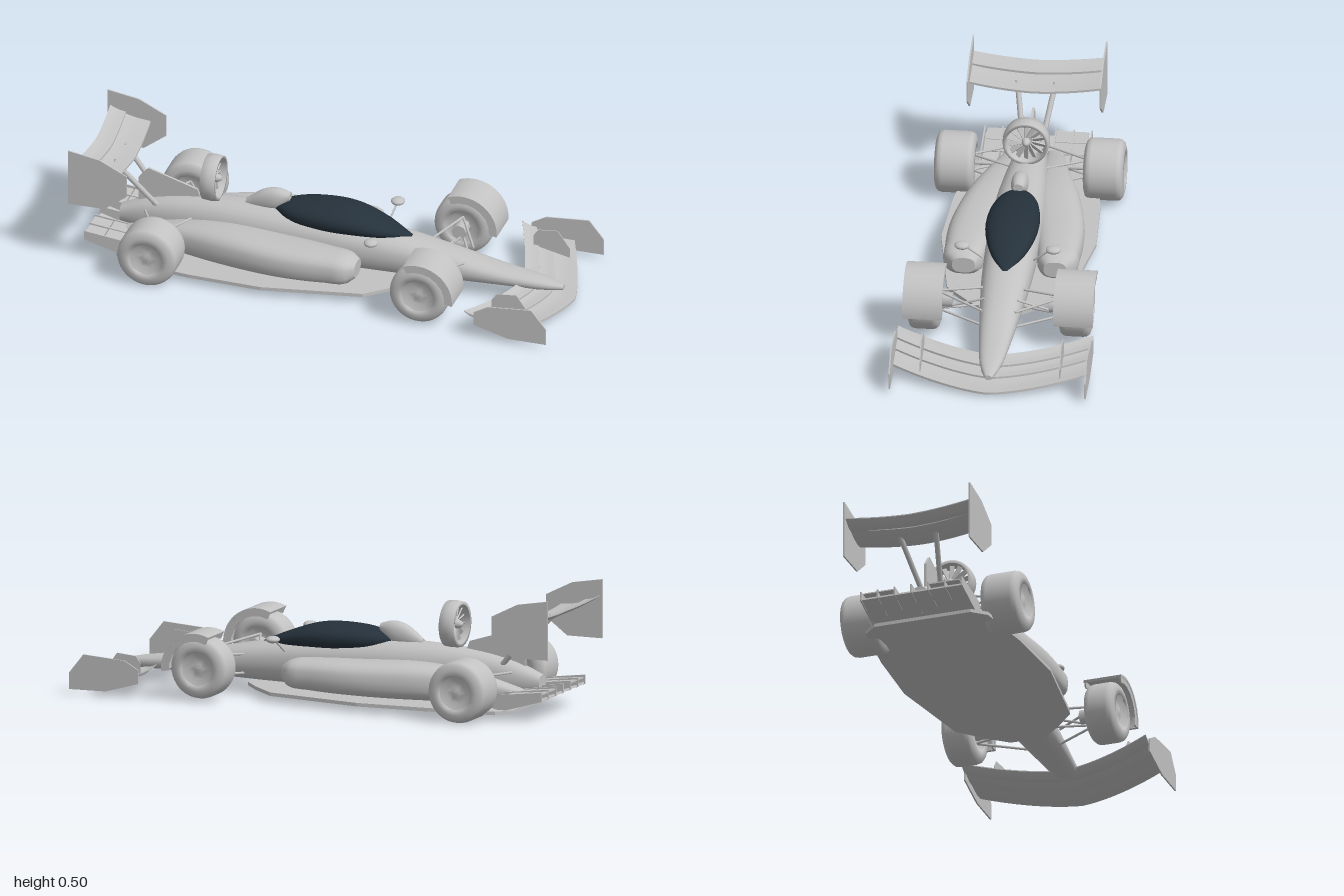
import * as THREE from 'three';

const V = (x, y, z) => new THREE.Vector3(x, y, z);

export function createModel() {
  const car = new THREE.Group();
  car.name = 'racingCar';
  const paint = new THREE.MeshStandardMaterial({ color: 0xc2c2c2 });
  paint.name = 'silver paint';
  const glass = new THREE.MeshStandardMaterial({ color: 0x25313b });
  glass.name = 'dark glass';

  function add(name, geometry, material = paint, parent = car) {
    const mesh = new THREE.Mesh(geometry, material);
    mesh.name = name;
    parent.add(mesh);
    return mesh;
  }

  // Skin over rounded sections along x: [x, bottom, top, half width, centre z]
  function loft(sections, power = 0.85, steps = 36, sides = 24) {
    const spline = new THREE.CubicInterpolant(
      sections.map(s => s[0]), sections.flatMap(s => s.slice(1)), 4, new Float32Array(4));
    const pos = [], index = [];
    const bend = v => Math.sign(v) * Math.abs(v) ** power;
    const ring = x => {
      const [lo, hi, w, zc] = spline.evaluate(x);
      for (let j = 0; j < sides; j++) {
        const a = j / sides * Math.PI * 2;
        pos.push(x, (lo + hi) / 2 + (hi - lo) / 2 * bend(Math.sin(a)), zc + w * bend(Math.cos(a)));
      }
      return [x, (lo + hi) / 2, zc];
    };
    const x0 = sections[0][0], x1 = sections[sections.length - 1][0];
    for (let i = 0; i <= steps; i++) ring(x0 + (x1 - x0) * i / steps);
    for (let i = 0; i < steps; i++) for (let j = 0; j < sides; j++) {
      const k = (j + 1) % sides, a = i * sides, b = a + sides;
      index.push(a + j, b + j, b + k, a + j, b + k, a + k);
    }
    for (const end of [0, 1]) {
      const base = pos.length / 3;
      pos.push(...ring(end ? x1 : x0));
      for (let j = 0; j < sides; j++) {
        const k = (j + 1) % sides;
        index.push(base + sides, base + (end ? k : j), base + (end ? j : k));
      }
    }
    const g = new THREE.BufferGeometry();
    g.setAttribute('position', new THREE.Float32BufferAttribute(pos, 3));
    g.setIndex(index);
    g.computeVertexNormals();
    return g;
  }

  // Flat upright plate from x, y points
  function plate(name, points, z, thick = 0.006) {
    const shape = new THREE.Shape(points.map(p => new THREE.Vector2(...p)));
    const g = new THREE.ExtrudeGeometry(shape, { depth: thick, bevelEnabled: false });
    return add(name, g.translate(0, 0, z - thick / 2));
  }

  // Swept and bowed aerofoil, from the rear edge to the front edge
  function aerofoil(name, [xr, yr, xf, yf], half, sweep, bow) {
    const g = new THREE.BoxGeometry(1, 1, half * 2, 6, 1, 32), p = g.attributes.position;
    for (let i = 0; i < p.count; i++) {
      const t = p.getX(i) + 0.5, z = p.getZ(i), u = Math.abs(z) / half;
      const thick = 0.004 + 0.008 * Math.sin(Math.PI * Math.sqrt(1 - t * 0.95));
      p.setX(i, xr + (xf - xr) * t - sweep * u ** 1.3);
      p.setY(i, yr + (yf - yr) * t - 0.006 * Math.sin(Math.PI * t) + p.getY(i) * thick + bow * u * u);
    }
    g.computeVertexNormals();
    add(name, g);
  }

  function rod(name, a, b, r = 0.005) {
    const g = new THREE.CylinderGeometry(r, r, a.distanceTo(b), 8);
    const m = add(name, g);
    m.position.copy(a).lerp(b, 0.5);
    m.quaternion.setFromUnitVectors(V(0, 1, 0), b.clone().sub(a).normalize());
  }

  // Central body, canopy and air scoop
  add('body', loft([
    [-0.86, 0.08, 0.15, 0.035, 0], [-0.75, 0.06, 0.195, 0.055, 0], [-0.55, 0.045, 0.232, 0.078, 0],
    [-0.3, 0.04, 0.245, 0.1, 0], [0, 0.04, 0.232, 0.105, 0], [0.3, 0.042, 0.203, 0.096, 0],
    [0.5, 0.047, 0.165, 0.08, 0], [0.7, 0.052, 0.122, 0.062, 0], [0.88, 0.052, 0.094, 0.038, 0],
    [0.95, 0.056, 0.076, 0.014, 0]]));
  add('canopy', loft([
    [-0.24, 0.232, 0.25, 0.012, 0], [-0.17, 0.205, 0.278, 0.066, 0], [-0.02, 0.187, 0.295, 0.103, 0],
    [0.1, 0.185, 0.286, 0.1, 0], [0.22, 0.184, 0.247, 0.068, 0], [0.33, 0.187, 0.2, 0.01, 0]], 0.9), glass);
  add('airScoop', loft([
    [-0.35, 0.22, 0.255, 0.015, 0], [-0.28, 0.22, 0.305, 0.03, 0], [-0.22, 0.23, 0.318, 0.033, 0],
    [-0.17, 0.275, 0.305, 0.02, 0]], 0.9, 14));

  // Floor
  const edge = [[-0.82, 0.2], [-0.77, 0.255], [-0.5, 0.29], [-0.2, 0.305], [0.2, 0.24], [0.3, 0.15], [0.37, 0.07]];
  const floor = new THREE.Shape([...edge, ...edge.map(([x, z]) => [x, -z]).reverse()].map(p => new THREE.Vector2(...p)));
  add('floor', new THREE.ExtrudeGeometry(floor, { depth: 0.014, bevelEnabled: false })
    .rotateX(-Math.PI / 2).translate(0, 0.026, 0));

  // Diffuser with upright strakes
  const ramp = add('diffuser', new THREE.BoxGeometry(0.19, 0.008, 0.42));
  ramp.position.set(-0.855, 0.062, 0);
  ramp.rotation.z = -0.3;
  for (let i = -3; i <= 3; i++) plate('diffuserStrake',
    [[-0.95, 0.085], [-0.78, 0.035], [-0.72, 0.05], [-0.76, 0.098], [-0.95, 0.122]], i * 0.07);
  for (const s of [-1, 1]) for (const [x, y] of [[-0.91, 0.108], [-0.83, 0.1]]) {
    const flap = add('diffuserFlap', new THREE.BoxGeometry(0.075, 0.005, 0.13));
    flap.position.set(x, y, s * 0.135);
    flap.rotation.z = -0.12;
  }

  // Engine fin and ducted fan
  plate('engineFin', [[-0.79, 0.17], [-0.53, 0.21], [-0.55, 0.262], [-0.75, 0.325], [-0.79, 0.28]], 0, 0.01);
  const fan = new THREE.Group();
  fan.name = 'fan';
  fan.position.set(-0.485, 0.325, 0);
  car.add(fan);
  const duct = [[0.078, -0.03], [0.09, -0.03], [0.093, 0], [0.09, 0.03], [0.078, 0.03], [0.078, -0.03]];
  add('fanDuct', new THREE.LatheGeometry(duct.map(p => new THREE.Vector2(...p)), 40).rotateZ(-Math.PI / 2), paint, fan);
  add('fanHub', new THREE.SphereGeometry(0.018, 16, 12).scale(2, 1, 1), paint, fan);
  for (let i = 0; i < 14; i++) add('fanBlade', new THREE.BoxGeometry(0.005, 0.068, 0.02)
    .rotateY(0.6).translate(0, 0.046, 0).rotateX(i / 14 * Math.PI * 2), paint, fan);

  // Front and rear wings
  aerofoil('frontWingMain', [0.89, 0.034, 0.995, 0.02], 0.385, 0.12, 0.04);
  aerofoil('frontWingMiddleFlap', [0.83, 0.052, 0.9, 0.037], 0.385, 0.12, 0.04);
  aerofoil('frontWingRearFlap', [0.78, 0.074, 0.84, 0.054], 0.385, 0.12, 0.04);
  aerofoil('rearWingMain', [-0.915, 0.385, -0.805, 0.362], 0.262, 0.018, 0.02);
  aerofoil('rearWingFlap', [-0.968, 0.416, -0.905, 0.392], 0.262, 0.02, 0.015);

  // Tyre with recessed six-sided wheel discs
  function wheel(name, x, y, z, r, w) {
    const g = new THREE.Group();
    g.name = name;
    g.position.set(x, y, z);
    car.add(g);
    const h = w / 2;
    const side = [[0, h - 0.03], [0.064, h - 0.03], [0.066, h], [0.09, h], [r - 0.012, h - 0.006], [r - 0.003, h - 0.016], [r, h - 0.03]];
    const profile = [...side.map(([a, b]) => [a, -b]), ...side.slice().reverse()];
    add('tyre', new THREE.LatheGeometry(profile.map(p => new THREE.Vector2(...p)), 40).rotateX(Math.PI / 2), paint, g);
    const disc = [[0.079, h + 0.001], [0.045, h - 0.018], [0.02, h - 0.012], [0, h - 0.01]].map(p => new THREE.Vector2(...p));
    for (const turn of [1, -1]) add('wheelDisc',
      new THREE.LatheGeometry(disc, 6).rotateY(Math.PI / 6).rotateX(turn * Math.PI / 2), paint, g);
  }

  for (const s of [-1, 1]) {
    // Side pods
    add('sidePod', loft([
      [-0.82, 0.07, 0.1, 0.03, s * 0.08], [-0.6, 0.045, 0.16, 0.062, s * 0.1], [-0.4, 0.04, 0.185, 0.095, s * 0.125],
      [-0.15, 0.045, 0.183, 0.102, s * 0.163], [0.05, 0.055, 0.178, 0.085, s * 0.181],
      [0.13, 0.064, 0.17, 0.072, s * 0.185], [0.16, 0.085, 0.15, 0.045, s * 0.18]], 0.75));

    // Wheels and front wheel fenders
    wheel('rearWheel', -0.65, 0.123, s * 0.293, 0.122, 0.158);
    wheel('frontWheel', 0.46, 0.132, s * 0.297, 0.12, 0.125);
    const arc = new THREE.Shape();
    arc.absarc(0, 0, 0.144, -0.1, 1.98, false);
    arc.absarc(0, 0, 0.134, 1.98, -0.1, true);
    add('frontFender', new THREE.ExtrudeGeometry(arc, { depth: 0.156, bevelEnabled: false, curveSegments: 24 }))
      .position.set(0.463, 0.132, s * 0.297 - 0.078);
    for (const z of [0.224, 0.37]) plate('fenderSide', Array.from({ length: 16 }, (_, i) => {
      const a = -0.1 + 2.08 * (i < 8 ? i : 15 - i) / 7, r = i < 8 ? 0.14 : 0.112;
      return [0.463 + r * Math.cos(a), 0.132 + r * Math.sin(a)];
    }), s * z);

    // Suspension
    for (const [x, y, tx, ty] of [[0.38, 0.15, 0.46, 0.17], [0.56, 0.145, 0.46, 0.17], [0.38, 0.075, 0.46, 0.09], [0.55, 0.075, 0.46, 0.09], [0.48, 0.155, 0.46, 0.09]])
      rod('frontSuspension', V(x, y, s * 0.065), V(tx, ty, s * 0.25));
    for (const [x, y, ty] of [[-0.75, 0.16, 0.16], [-0.54, 0.17, 0.16], [-0.75, 0.09, 0.09], [-0.54, 0.09, 0.09]])
      rod('rearSuspension', V(x, y, s * 0.05), V(-0.65, ty, s * 0.23));
    rod('rearAxle', V(-0.65, 0.123, s * 0.04), V(-0.65, 0.123, s * 0.24), 0.009);
    rod('frontAxle', V(0.46, 0.132, s * 0.19), V(0.46, 0.132, s * 0.26), 0.03);

    // Mirrors
    rod('mirrorArm', V(0.2, 0.18, s * 0.1), V(0.215, 0.232, s * 0.16), 0.004);
    add('mirror', new THREE.SphereGeometry(1, 16, 12).scale(0.028, 0.014, 0.03)).position.set(0.215, 0.239, s * 0.18);

    // Wing end plates, fences and supports
    plate('frontEndPlate', [[0.7, 0.06], [0.84, 0.02], [0.995, 0.018], [0.995, 0.085], [0.935, 0.16], [0.76, 0.148], [0.7, 0.115]], s * 0.385);
    plate('frontWingFence', [[0.74, 0.08], [0.89, 0.045], [0.89, 0.085], [0.84, 0.155], [0.76, 0.148], [0.74, 0.12]], s * 0.275, 0.004);
    plate('rearEndPlate', [[-1, 0.262], [-0.85, 0.262], [-0.76, 0.33], [-0.76, 0.42], [-0.87, 0.475], [-1, 0.497]], s * 0.262);
    rod('rearWingSupport', V(-0.7, 0.18, s * 0.035), V(-0.87, 0.375, s * 0.075), 0.011);
  }
  return car;
}
